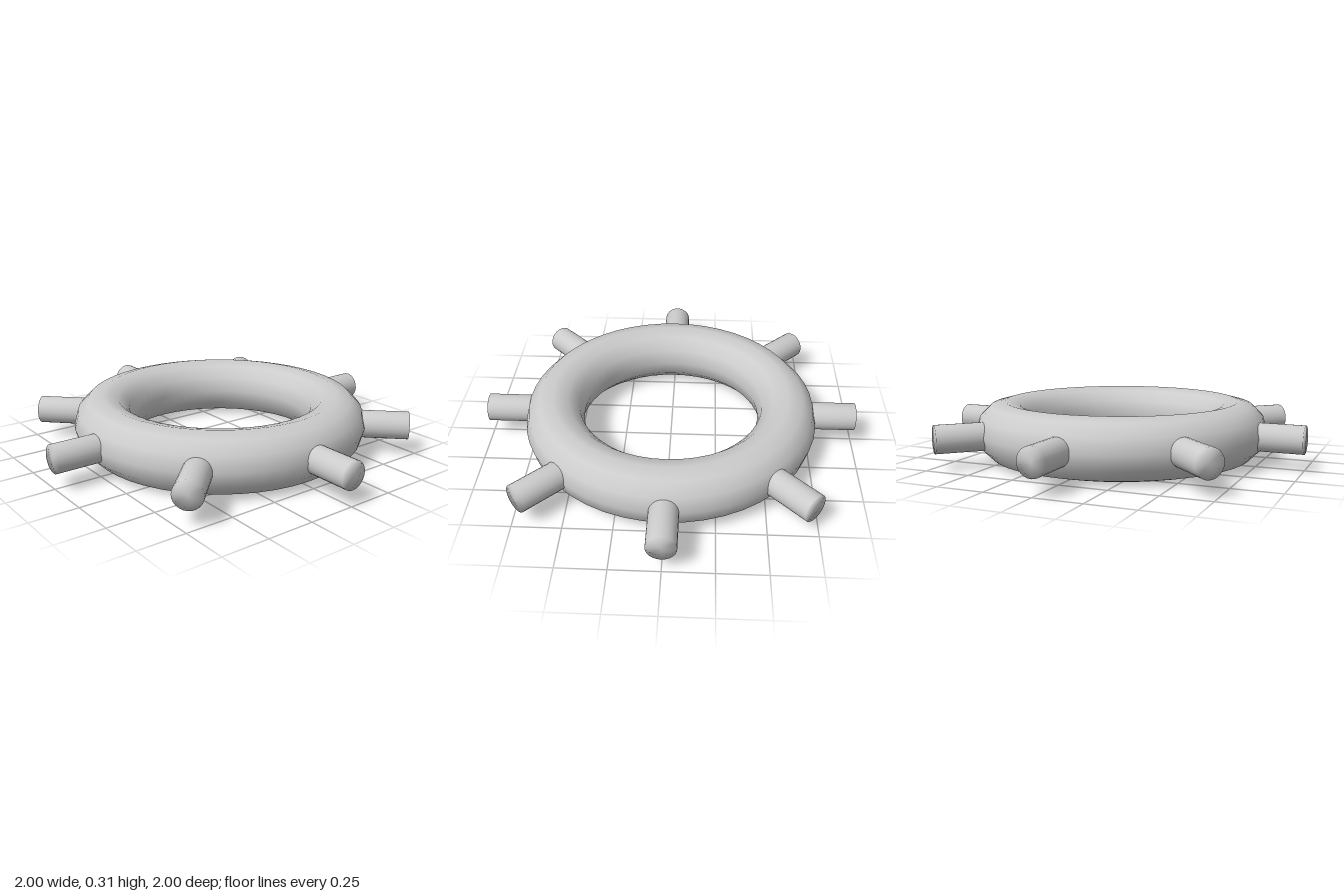
import * as THREE from 'three';
import { mergeVertices } from 'three/addons/utils/BufferGeometryUtils.js';

const RING_RADIUS = 0.63;
const TUBE_RADIUS = 0.157;
const PEG_RADIUS = 0.074;

// Cylinder along +x from `start` to `end`, shaded smoothly over its rim
function pegGeometry(start, end) {
  const geo = new THREE.CylinderGeometry(PEG_RADIUS, PEG_RADIUS, end - start, 24);
  geo.rotateZ(-Math.PI / 2).translate((start + end) / 2, 0, 0);
  geo.deleteAttribute('normal');
  geo.deleteAttribute('uv');
  const smooth = mergeVertices(geo);
  smooth.computeVertexNormals();
  return smooth;
}

export function createModel() {
  const model = new THREE.Group();
  model.name = 'peggedRing';
  const material = new THREE.MeshStandardMaterial({ color: 0xcccccc });

  // Ring lying flat
  const ringGeo = new THREE.TorusGeometry(RING_RADIUS, TUBE_RADIUS, 12, 48);
  ringGeo.rotateX(-Math.PI / 2);
  const ring = new THREE.Mesh(ringGeo, material);
  ring.name = 'ring';
  ring.position.y = TUBE_RADIUS;
  model.add(ring);

  // Eight radial pegs; the diagonal ones reach slightly further out
  const straight = pegGeometry(RING_RADIUS, 1);
  const diagonal = pegGeometry(RING_RADIUS, 1.015);
  for (let i = 0; i < 8; i++) {
    const peg = new THREE.Mesh(i % 2 ? diagonal : straight, material);
    peg.name = `peg${i + 1}`;
    peg.position.y = TUBE_RADIUS;
    peg.rotation.y = (i * Math.PI) / 4;
    model.add(peg);
  }
  return model;
}
